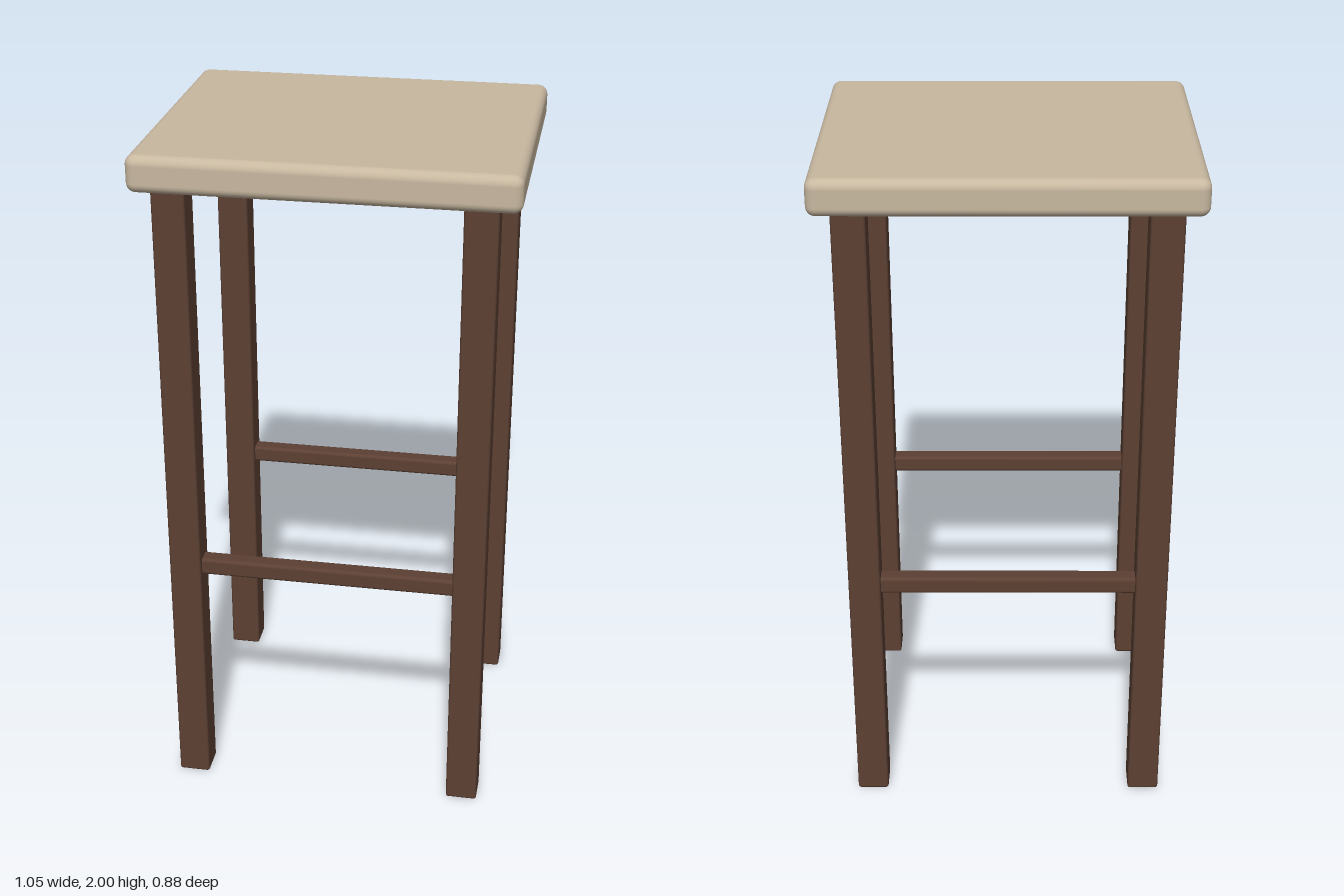
import * as THREE from 'three';
import { RoundedBoxGeometry } from 'three/addons/geometries/RoundedBoxGeometry.js';

export function createModel() {
  const group = new THREE.Group();
  const wood = new THREE.MeshStandardMaterial({ color: 0x5c4033 });
  wood.name = 'dark brown wood';
  const cushion = new THREE.MeshStandardMaterial({ color: 0xc8b8a0 });
  cushion.name = 'beige seat';

  // Box with softened edges, placed by its centre
  function roundedPart(name, material, size, radius, position) {
    const mesh = new THREE.Mesh(new RoundedBoxGeometry(...size, 4, radius), material);
    mesh.name = name;
    mesh.position.set(...position);
    group.add(mesh);
  }

  const legX = 0.418, legZ = 0.364, legWidth = 0.093, legHeight = 1.91;

  // Seat slab
  roundedPart('seat', cushion, [1.05, 0.104, 0.884], 0.027, [0, 1.948, 0]);

  for (const [end, sz] of [['front', 1], ['back', -1]]) {
    // Pair of square legs, tucked slightly into the seat
    for (const [side, sx] of [['Left', 1], ['Right', -1]]) {
      roundedPart(`${end}${side}Leg`, wood, [legWidth, legHeight, legWidth], 0.008,
        [sx * legX, legHeight / 2, sz * legZ]);
    }
    // Rung between the two legs
    roundedPart(`${end}Rung`, wood, [2 * legX - legWidth + 0.03, 0.052, 0.052], 0.01,
      [0, 0.734, sz * legZ]);
  }

  return group;
}
